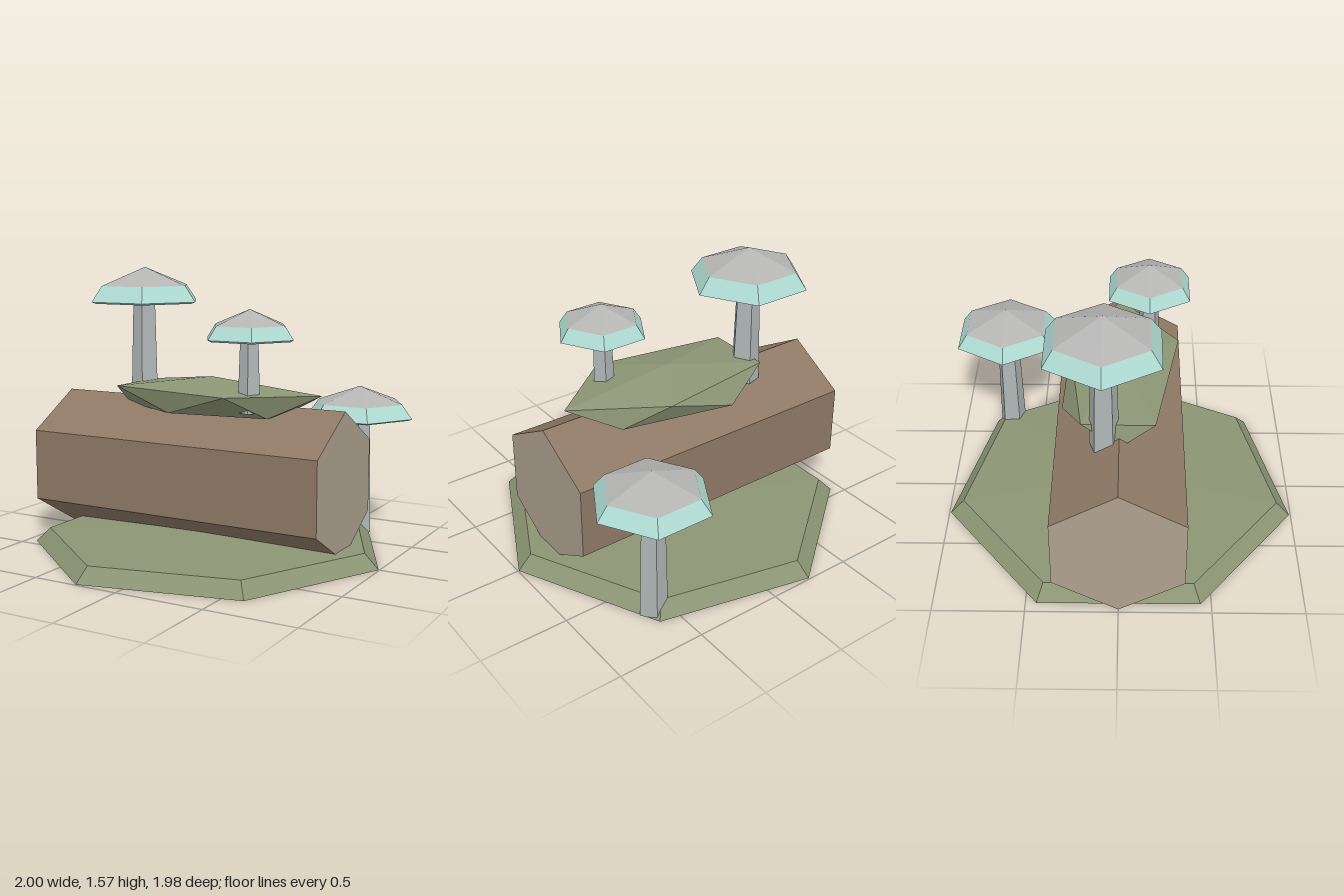
import * as THREE from 'three';

const mat = (name, color, side = THREE.FrontSide) =>
  Object.assign(new THREE.MeshStandardMaterial({ color, side }), { name });

// Faceted normals: every triangle keeps its own corners.
function facet(geometry) {
  const g = geometry.index ? geometry.toNonIndexed() : geometry;
  g.computeVertexNormals();
  return g;
}

// Tapered prism between two heights, with one corner on +x.
function prism(sides, rBottom, rTop, y0, y1, open = true) {
  const g = new THREE.CylinderGeometry(rTop, rBottom, y1 - y0, sides, 1, open, Math.PI / 2);
  g.translate(0, (y0 + y1) / 2, 0);
  return facet(g);
}

function add(parent, name, geometry, material) {
  const mesh = new THREE.Mesh(geometry, material);
  mesh.name = name;
  parent.add(mesh);
  return mesh;
}

// Lumpy clump: apex, upper ring, staggered lower ring, flat underside.
function clump(apex, upper, lower, base) {
  const p = [];
  const tri = (...corners) => corners.forEach((c) => p.push(...c));
  const n = upper.length;
  for (let i = 0; i < n; i++) {
    const j = (i + 1) % n;
    tri(apex, upper[j], upper[i]);
    tri(upper[i], upper[j], lower[i]);
    tri(lower[i], upper[j], lower[j]);
    tri(base, lower[i], lower[j]);
  }
  const g = new THREE.BufferGeometry();
  g.setAttribute('position', new THREE.Float32BufferAttribute(p, 3));
  return facet(g);
}

export function createModel() {
  const model = new THREE.Group();
  model.name = 'mossyLog';

  const moss = mat('moss green', 0x8b9574, THREE.DoubleSide);
  const bark = mat('bark brown', 0x8e7965);
  const wood = mat('cut wood tan', 0xaea18e);
  const stemGray = mat('stem gray', 0xb0b7b6);
  const capGray = mat('cap gray', 0xb4b4b3);
  const teal = mat('cap teal', 0xaedbd2);

  // Ground: open-bottomed seven-sided mound
  const ground = new THREE.Group();
  ground.name = 'ground';
  ground.position.x = -0.022;
  add(ground, 'groundRim', prism(7, 1.018, 0.937, 0, 0.08), moss);
  add(ground, 'groundTop', prism(7, 0.937, 0, 0.08, 0.113), moss);
  model.add(ground);

  // Fallen log: hexagonal prism along x, with lighter cut ends
  const logGeo = new THREE.CylinderGeometry(0.405, 0.405, 1.79, 6, 1, false, Math.PI / 2);
  logGeo.rotateZ(Math.PI / 2);
  const groups = logGeo.groups.map((g) => ({ ...g }));
  const logFlat = facet(logGeo);
  logFlat.clearGroups();
  groups.forEach((g) => logFlat.addGroup(g.start, g.count, g.materialIndex));
  add(model, 'log', logFlat, [bark, wood, wood]).position.set(-0.105, 0.428, 0);

  // Moss clump draped over the log
  const upper = [[0.655, 0.905, 0], [0.235, 0.905, 0.33], [-0.535, 0.905, 0.19],
    [-0.53, 0.905, -0.2], [0.16, 0.895, -0.285]];
  const lower = [[0.4, 0.78, 0.14], [-0.17, 0.78, 0.225], [-0.57, 0.78, 0],
    [-0.235, 0.78, -0.315], [0.4, 0.78, -0.17]];
  add(model, 'mossClump', clump([-0.02, 0.97, 0], upper, lower, [0, 0.78, 0]), moss);

  // Mushrooms: x, z, stem foot, cap rim height, cap radius, cap height
  const mushrooms = [
    [-0.515, -0.08, 0.76, 1.375, 0.34, 0.195],
    [0.303, 0.16, 0.81, 1.21, 0.258, 0.155],
    [0.588, -0.695, 0, 0.7, 0.325, 0.175],
  ];
  for (const [x, z, foot, rim, r, h] of mushrooms) {
    const shroom = new THREE.Group();
    shroom.name = 'mushroom';
    shroom.position.set(x, 0, z);
    const shoulder = rim + h * 0.46;
    add(shroom, 'stem', prism(5, r * 0.25, r * 0.2, foot, rim, false), stemGray);
    add(shroom, 'capUnderside', prism(6, r * 0.92, r, rim - 0.01, rim, false), teal);
    add(shroom, 'capRim', prism(6, r, r * 0.81, rim, shoulder), teal);
    add(shroom, 'capTop', prism(6, r * 0.81, 0, shoulder, rim + h), capGray);
    model.add(shroom);
  }
  return model;
}
